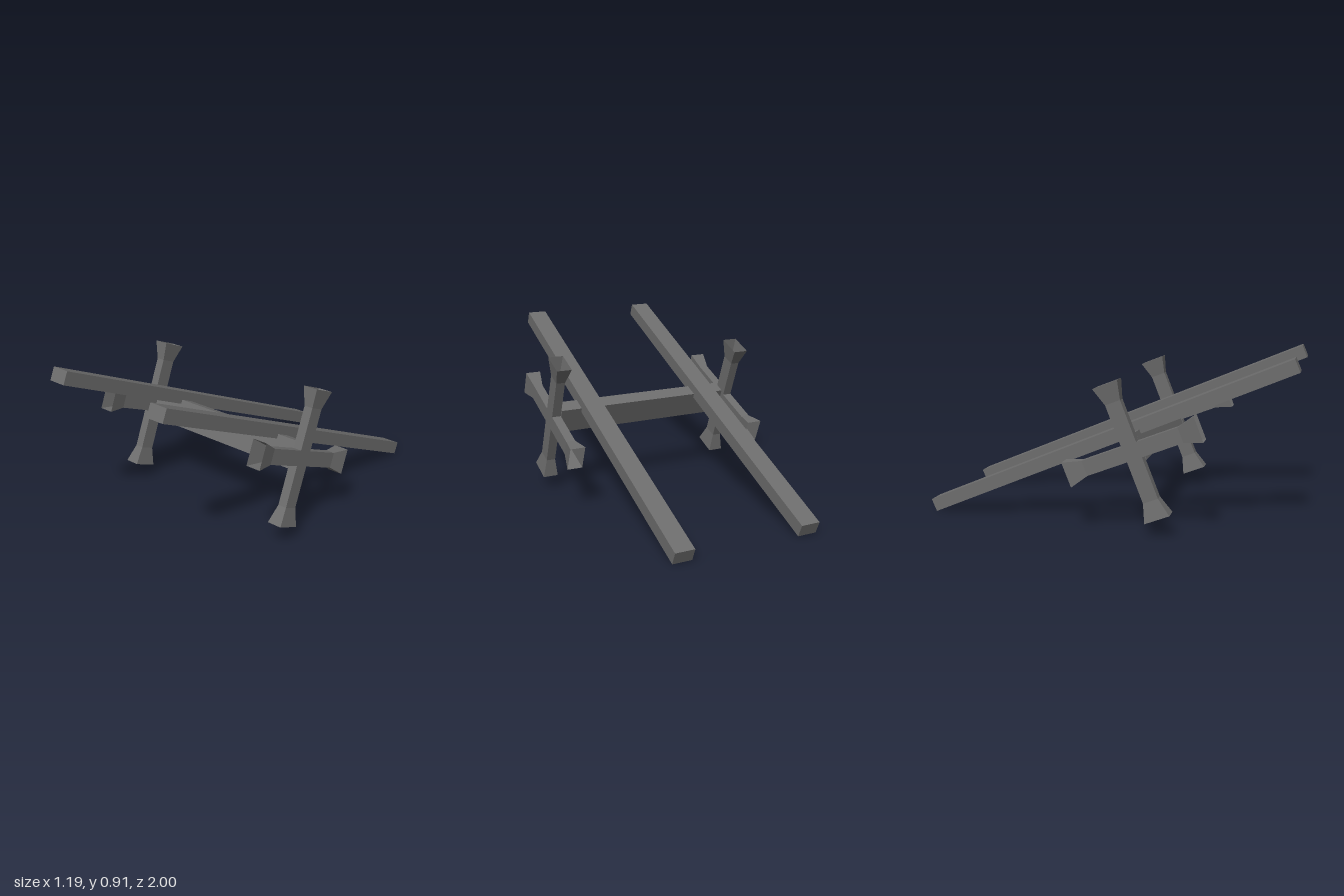
import * as THREE from 'three';

const TILT = -0.403; // slope of the rails, rising towards the front
const CROSS_TILT = -0.378;

const material = new THREE.MeshStandardMaterial({
  color: 0x6d6d6d, flatShading: true, side: THREE.DoubleSide,
});

function addBox(parent, name, size, position) {
  const mesh = new THREE.Mesh(new THREE.BoxGeometry(...size), material);
  mesh.name = name;
  mesh.position.set(...position);
  mesh.rotation.x = TILT;
  parent.add(mesh);
}

// Four-sided hollow bar along y with flared open ends
function flaredBarGeometry() {
  const half = 0.3675, flare = 0.1;
  const tip = Math.SQRT1_2, shaft = tip * 0.6;
  const profile = [
    [tip, -half], [shaft, flare - half], [shaft, half - flare], [tip, half],
  ].map(([r, y]) => new THREE.Vector2(r, y));
  const geometry = new THREE.LatheGeometry(profile, 4)
    .rotateY(Math.PI / 4).scale(0.085, 1, 0.139).toNonIndexed();
  geometry.computeVertexNormals();
  return geometry;
}

export function createModel() {
  const model = new THREE.Group();
  model.name = 'handCart';

  // Two long sloping rails
  addBox(model, 'rightRail', [0.108, 0.073, 2.147], [-0.367, 0.455, 0]);
  addBox(model, 'leftRail', [0.108, 0.073, 2.147], [0.353, 0.455, 0]);

  // Axle beam under the rails
  addBox(model, 'axleBeam', [1.03, 0.152, 0.081], [0.01, 0.4375, 0.1835]);

  // Cross of two flared bars on each side
  const barGeometry = flaredBarGeometry();
  for (const [side, x] of [['right', -0.553], ['left', 0.553]]) {
    const cross = new THREE.Group();
    cross.name = side + 'Cross';
    cross.position.set(x, 0.4345, 0.1885);
    cross.rotation.x = CROSS_TILT;
    for (let i = 0; i < 2; i++) {
      const bar = new THREE.Mesh(barGeometry, material);
      bar.name = ['uprightBar', 'levelBar'][i];
      bar.rotation.x = i * Math.PI / 2;
      cross.add(bar);
    }
    model.add(cross);
  }
  return model;
}
